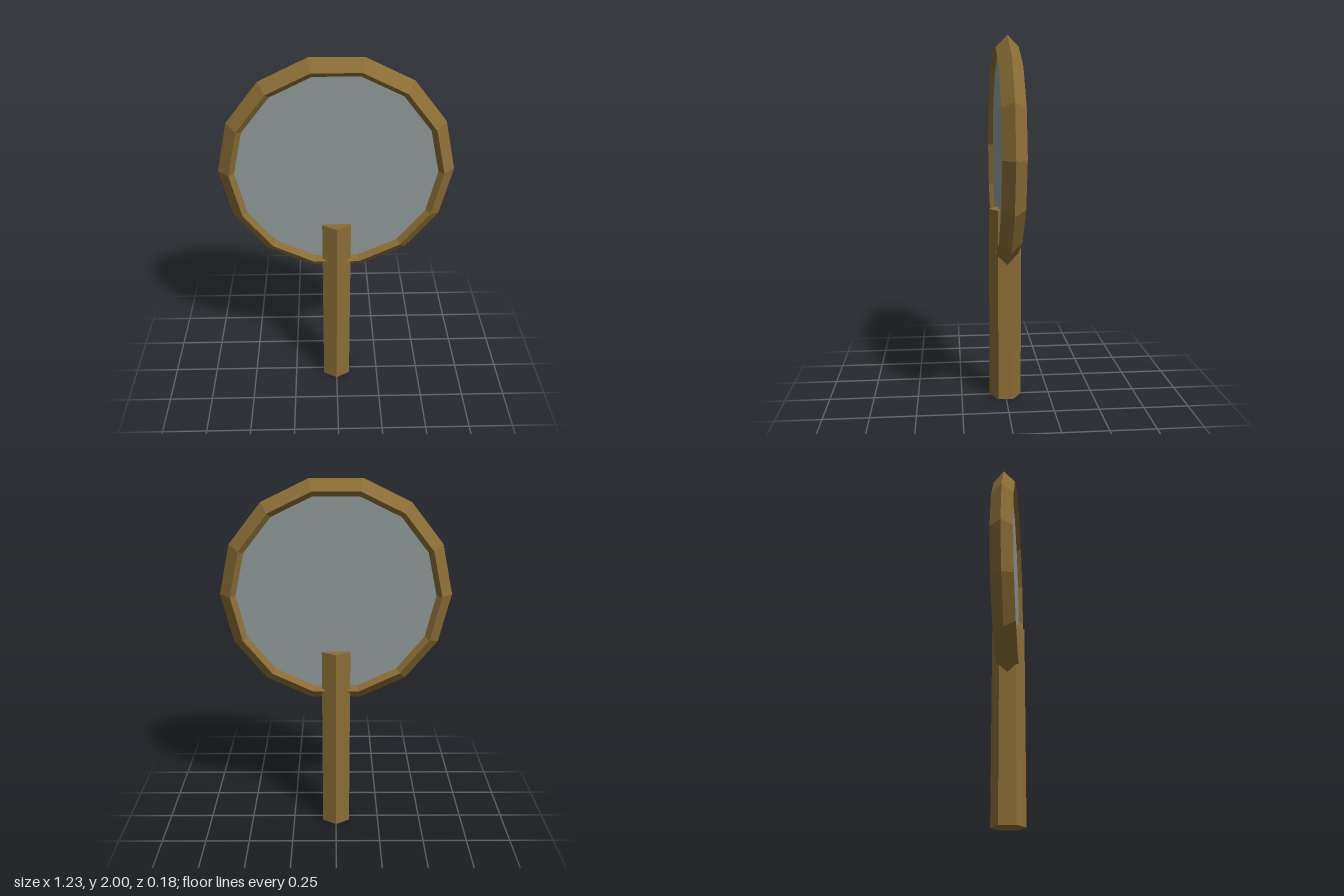
import * as THREE from 'three';

const SIDES = 14;
const CENTRE_Y = 1.4;

function addPart(group, name, geometry, color, y) {
  const material = new THREE.MeshStandardMaterial({ color, flatShading: true });
  const mesh = new THREE.Mesh(geometry, material);
  mesh.name = name;
  mesh.position.y = y;
  group.add(mesh);
}

export function createModel() {
  const group = new THREE.Group();
  group.name = 'handMirror';
  const wood = 0x8a6d35;

  // Diamond-section ring, with a corner on each side and a flat top
  addPart(group, 'frame', new THREE.TorusGeometry(0.557, 0.06, 4, SIDES), wood, CENTRE_Y);

  // Pane facing front and back, its rim sunk inside the ring
  const pane = new THREE.CylinderGeometry(0.54, 0.54, 0.066, SIDES);
  pane.rotateY(Math.PI / 2).rotateX(Math.PI / 2);
  addPart(group, 'glass', pane, 0x8f9898, CENTRE_Y);

  // Six-sided handle with an edge to the front, overlapping the pane
  addPart(group, 'handle', new THREE.CylinderGeometry(0.09, 0.09, 1.085, 6), wood, 1.085 / 2);

  return group;
}
